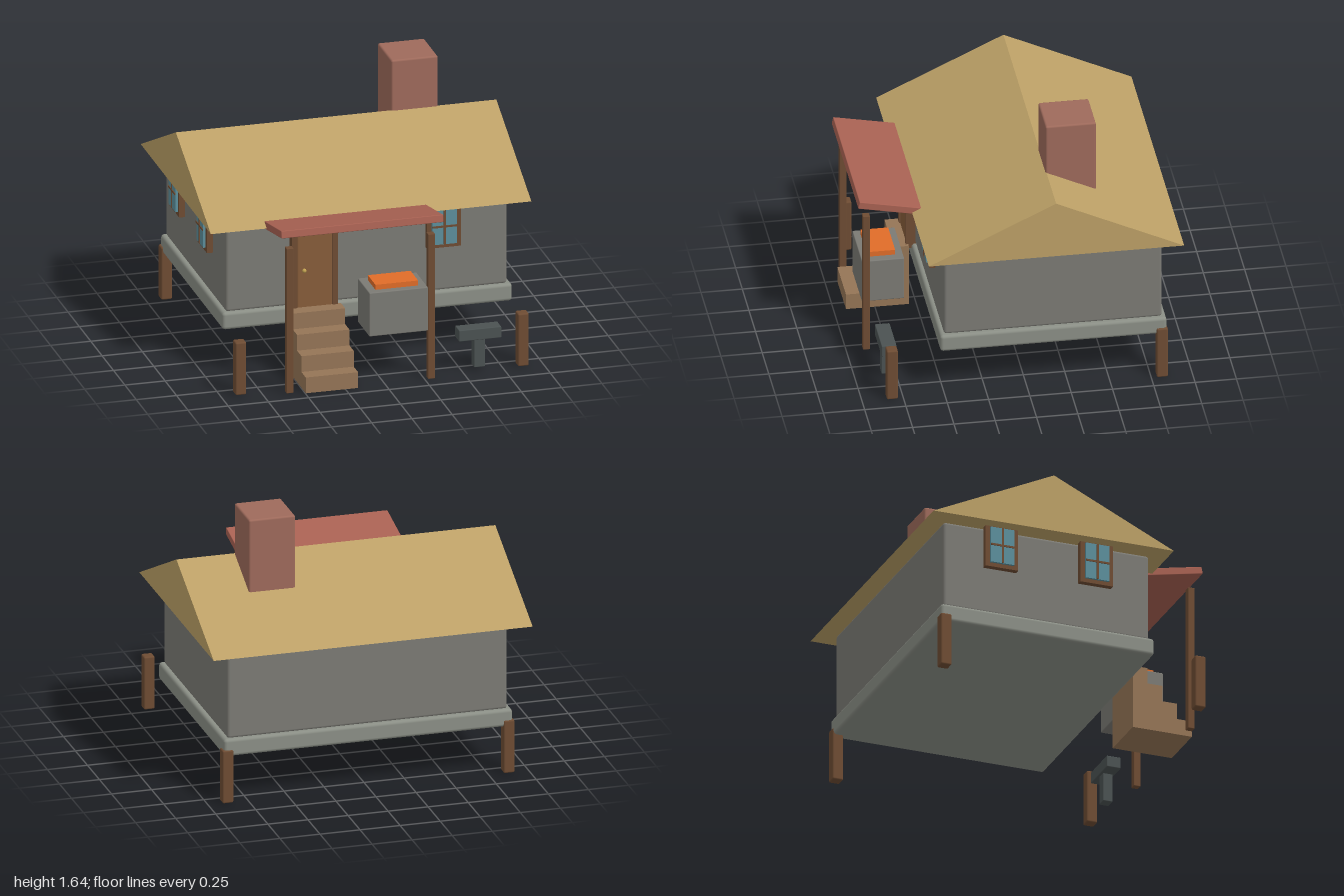
import * as THREE from 'three';
import { RoundedBoxGeometry } from 'three/addons/geometries/RoundedBoxGeometry.js';

const paint = (color) => new THREE.MeshStandardMaterial({ color });
const stone = paint(0x7b7a74), plinth = paint(0x8b8f86), straw = paint(0xbca066);
const brick = paint(0x9e6a5b), tile = paint(0xa86152), wood = paint(0x6e4c33);
const doorWood = paint(0x865c3a), stepWood = paint(0x957556), glass = paint(0x5c8f9c);
const ember = paint(0xe06c28), iron = paint(0x4b5252), brass = paint(0xc0a050);

// Box given by its min and max along each axis; r rounds the edges
function box(parent, name, mat, [x0, x1], [y0, y1], [z0, z1], r = 0) {
  const s = [x1 - x0, y1 - y0, z1 - z0];
  const geo = r ? new RoundedBoxGeometry(...s, 2, r) : new THREE.BoxGeometry(...s);
  const mesh = new THREE.Mesh(geo, mat);
  mesh.name = name;
  mesh.position.set((x0 + x1) / 2, (y0 + y1) / 2, (z0 + z1) / 2);
  parent.add(mesh);
  return mesh;
}

// Framed window facing +z, its back at z = 0
function makeWindow(name) {
  const g = new THREE.Group();
  g.name = name;
  for (const s of [-1, 1]) {
    const a = s * 0.09;
    box(g, 'windowStile', wood, [a - 0.015, a + 0.015], [-0.14, 0.14], [0, 0.037]);
    const b = s * 0.127;
    box(g, 'windowRail', wood, [-0.075, 0.075], [b - 0.013, b + 0.013], [0, 0.037]);
  }
  box(g, 'windowGlass', glass, [-0.076, 0.076], [-0.115, 0.115], [0.005, 0.052]);
  box(g, 'windowMullion', wood, [-0.006, 0.006], [-0.114, 0.114], [0.04, 0.057]);
  box(g, 'windowCrossbar', wood, [-0.075, 0.075], [-0.006, 0.006], [0.04, 0.057]);
  return g;
}

export function createModel() {
  const house = new THREE.Group();
  house.name = 'cottage';

  // Raised base and walls
  box(house, 'base', plinth, [-0.9, 0.9], [0.295, 0.405], [-0.845, 0.525], 0.02);
  box(house, 'walls', stone, [-0.873, 0.873], [0.4, 0.955], [-0.82, 0.5], 0.018);

  // Gabled roof, extruded along x
  const gable = new THREE.Shape([[-0.61, 0.955], [0.935, 0.955], [0.16, 1.32]]
    .map(([z, y]) => new THREE.Vector2(z, y)));
  const roofGeo = new THREE.ExtrudeGeometry(gable, { depth: 1.99, bevelEnabled: false });
  roofGeo.rotateY(Math.PI / 2).translate(-0.997, 0, 0);
  const roof = new THREE.Mesh(roofGeo, straw);
  roof.name = 'roof';
  house.add(roof);
  box(house, 'chimney', brick, [0.34, 0.63], [1.0, 1.64], [-0.46, -0.155], 0.012);

  // Corner legs
  for (const [x, z] of [[-0.877, 0.817], [0.877, 0.817], [-0.877, -0.817], [0.877, -0.817]]) {
    box(house, 'cornerLeg', wood, [x - 0.034, x + 0.034], [0, 0.337], [z - 0.034, z + 0.034], 0.01);
  }

  // Porch: tilted roof on two posts
  const porch = box(house, 'porchRoof', tile, [-0.65, 0.357], [0.972, 1.018], [0.545, 0.935], 0.004);
  porch.rotation.x = -0.2;
  for (const x of [-0.587, 0.292]) {
    box(house, 'porchPost', wood, [x - 0.022, x + 0.022], [0, 0.928], [0.857, 0.9], 0.004);
  }

  // Door with frame and knob
  const door = new THREE.Group();
  door.name = 'door';
  house.add(door);
  for (const x of [-0.462, -0.21]) {
    box(door, 'doorJamb', wood, [x - 0.017, x + 0.017], [0.375, 0.91], [0.495, 0.56]);
  }
  box(door, 'doorLintel', wood, [-0.447, -0.225], [0.88, 0.91], [0.495, 0.56]);
  box(door, 'doorPanel', doorWood, [-0.445, -0.227], [0.38, 0.882], [0.49, 0.553], 0.008);
  const knob = new THREE.Mesh(new THREE.SphereGeometry(0.013, 16, 12), brass);
  knob.name = 'doorKnob';
  knob.position.set(-0.405, 0.642, 0.568);
  door.add(knob);

  // Solid steps
  for (let i = 0; i < 4; i++) {
    const z = 0.925 - i * 0.095;
    box(house, 'step', stepWood, [-0.497, -0.172], [0, 0.101 * (i + 1)], [z - 0.095, z]);
  }

  // One window in front, two on the right wall
  const front = makeWindow('frontWindow');
  front.position.set(0.47, 0.83, 0.503);
  house.add(front);
  for (const z of [-0.465, 0.145]) {
    const side = makeWindow('sideWindow');
    side.position.set(-0.883, 0.83, z);
    side.rotation.y = -Math.PI / 2;
    house.add(side);
  }

  // Forge with glowing bed
  box(house, 'forge', stone, [-0.095, 0.27], [0.31, 0.59], [0.643, 0.9], 0.006);
  box(house, 'emberBed', ember, [-0.045, 0.22], [0.58, 0.622], [0.69, 0.857]);

  // Anvil on its stem
  box(house, 'anvilTop', iron, [0.475, 0.738], [0.2, 0.272], [0.765, 0.855], 0.005);
  box(house, 'anvilStem', iron, [0.573, 0.64], [0.02, 0.205], [0.78, 0.84], 0.004);

  return house;
}
